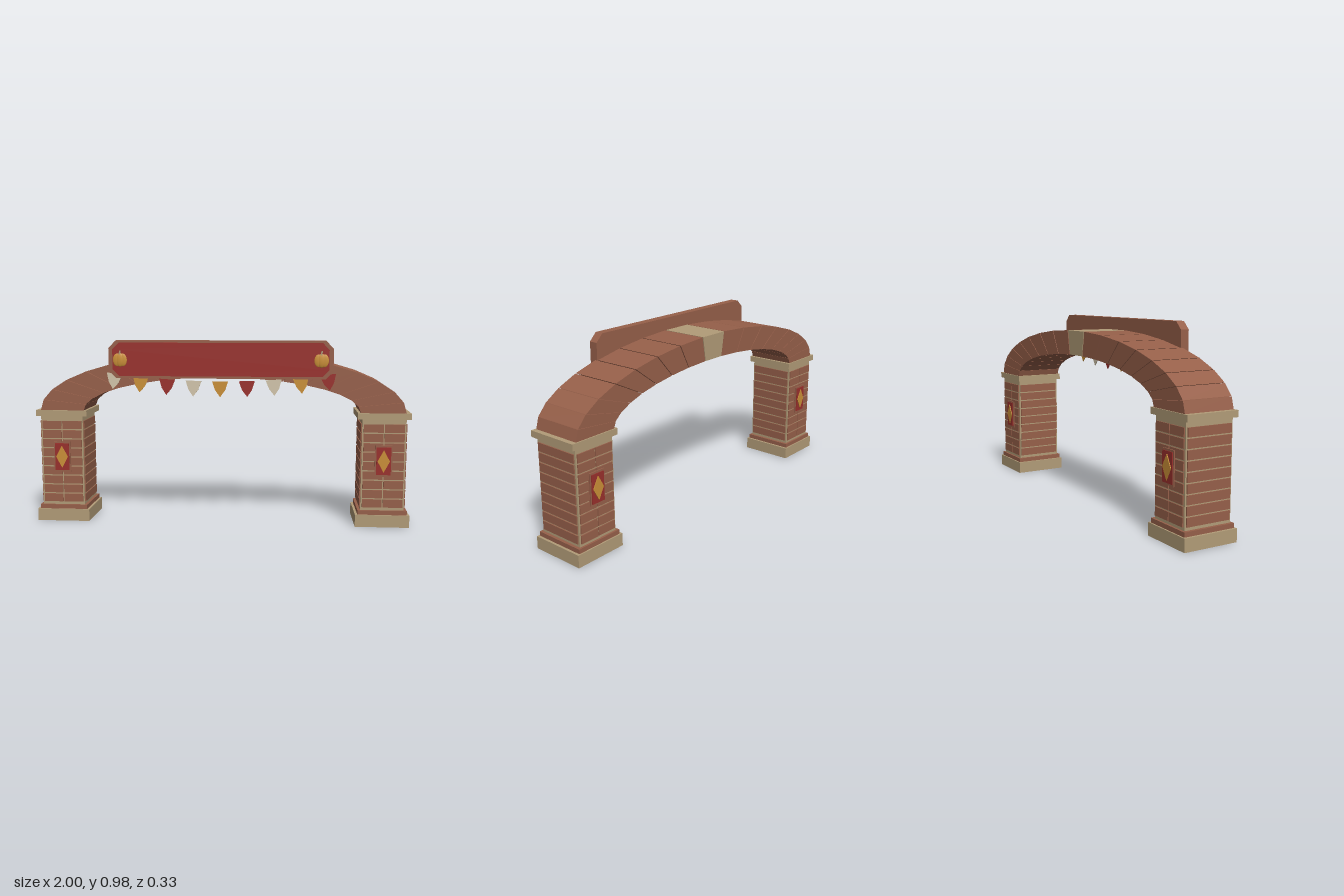
import * as THREE from 'three';

const mat = (name, color) => Object.assign(new THREE.MeshStandardMaterial({ color }), { name });

export function createModel() {
  const brick = mat('brick', 0x97604a);
  const stone = mat('sandstone', 0xb29c78);
  const red = mat('red paint', 0x9a302c);
  const gold = mat('gold', 0xcb9038);
  const cream = mat('cream cloth', 0xd3c6ac);
  const redCloth = red, goldCloth = gold;

  const model = new THREE.Group();
  model.name = 'archway';
  const CZ = -0.014; // centre of pillars and arch in depth

  const add = (parent, name, geometry, material, x = 0, y = 0, z = 0) => {
    const m = new THREE.Mesh(geometry, material);
    m.name = name;
    m.position.set(x, y, z);
    parent.add(m);
    return m;
  };
  // Box given by its bottom and top heights
  const slab = (parent, name, w, y0, y1, d, material, x = 0, z = 0) =>
    add(parent, name, new THREE.BoxGeometry(w, y1 - y0, d), material, x, (y0 + y1) / 2, z);
  const plate = (points, depth) => new THREE.ExtrudeGeometry(
    new THREE.Shape(points.map(([x, y]) => new THREE.Vector2(x, y))),
    { depth, bevelEnabled: false });
  // Rectangle with cut corners
  const octagon = (w, h, c) => [
    [-w + c, -h], [w - c, -h], [w, -h + c], [w, h - c],
    [w - c, h], [-w + c, h], [-w, h - c], [-w, -h + c]];

  // Pillars
  const diamond = plate([[-0.032, 0], [0, -0.06], [0.032, 0], [0, 0.06]], 0.005);
  for (const side of [-1, 1]) {
    const pillar = new THREE.Group();
    pillar.name = side > 0 ? 'leftPillar' : 'rightPillar';
    pillar.position.set(side * 0.858, 0, CZ);
    model.add(pillar);

    slab(pillar, 'base', 0.284, 0, 0.065, 0.293, stone);
    slab(pillar, 'plinth', 0.258, 0.065, 0.088, 0.278, brick);
    slab(pillar, 'mortarCore', 0.228, 0.088, 0.576, 0.256, stone);
    slab(pillar, 'capital', 0.276, 0.574, 0.606, 0.281, stone);

    // Brick courses on all four faces
    for (let row = 0; row < 9; row++) {
      const y0 = 0.104 + row * 0.05, y1 = y0 + 0.043;
      for (const s of [-1, 1]) {
        slab(pillar, 'sideBrick', 0.016, y0, y1, 0.24, brick, s * 0.112, 0);
        for (const h of [-1, 1])
          slab(pillar, 'faceBrick', 0.103, y0, y1, 0.016, brick, h * 0.0545, s * 0.126);
      }
    }

    // Diamond plaques, front and back
    for (const s of [0, 1]) {
      const plaque = new THREE.Group();
      plaque.name = s ? 'backPlaque' : 'frontPlaque';
      plaque.rotation.y = s * Math.PI;
      plaque.position.y = 0.354;
      pillar.add(plaque);
      add(plaque, 'plaqueFrame', new THREE.BoxGeometry(0.09, 0.165, 0.012), brick, 0, 0, 0.134);
      add(plaque, 'plaquePanel', new THREE.BoxGeometry(0.076, 0.146, 0.008), red, 0, 0, 0.14);
      add(plaque, 'plaqueDiamond', diamond, gold, 0, 0, 0.143);
    }
  }

  // Arch of wedge stones between two ellipses
  const arch = new THREE.Group();
  arch.name = 'arch';
  model.add(arch);
  const COUNT = 17, step = Math.PI / COUNT, gap = 0.003;
  const onEllipse = (rx, ry, t) => [rx * Math.cos(t), 0.605 + ry * Math.sin(t)];
  for (let i = 0; i < COUNT; i++) {
    const a = i * step + gap, b = (i + 1) * step - gap;
    const wedge = plate([
      onEllipse(0.97, 0.312, a), onEllipse(0.97, 0.312, b),
      onEllipse(0.735, 0.182, b), onEllipse(0.735, 0.182, a)], 0.268);
    const key = i === (COUNT - 1) / 2;
    add(arch, key ? 'keystone' : 'archStone', wedge, key ? stone : brick, 0, 0, CZ - 0.134);
  }

  // Sign board
  const sign = new THREE.Group();
  sign.name = 'sign';
  sign.position.set(0, 0.882, 0);
  model.add(sign);
  add(sign, 'signBoard', plate(octagon(0.587, 0.099, 0.04), 0.046), brick, 0, 0, 0.106);
  add(sign, 'signPanel', plate(octagon(0.565, 0.087, 0.034), 0.007), red, 0, 0, 0.151);
  // Pumpkin ornaments: overlapping flattened lobes and a stalk
  for (const side of [-1, 1]) {
    const pumpkin = new THREE.Group();
    pumpkin.name = 'pumpkinOrnament';
    pumpkin.position.set(side * 0.525, 0, 0.157);
    sign.add(pumpkin);
    for (const k of [-1, 0, 1]) {
      const lobe = add(pumpkin, 'pumpkinLobe', new THREE.SphereGeometry(1, 16, 10), gold, k * 0.015, -0.003, 0);
      lobe.scale.set(0.023, k ? 0.034 : 0.037, k ? 0.006 : 0.008);
    }
    const stalk = add(pumpkin, 'pumpkinStalk', new THREE.CylinderGeometry(0.004, 0.006, 0.022, 6), stone, 0, 0.036, 0.002);
    stalk.rotation.z = -0.2;
  }

  // Bunting hung on a shallow sag
  const bunting = new THREE.Group();
  bunting.name = 'bunting';
  model.add(bunting);
  const cloths = [cream, goldCloth, redCloth];
  const flag = plate([[-0.042, 0.004], [-0.026, -0.043], [0, -0.079], [0.026, -0.043], [0.042, 0.004]], 0.004);
  for (let i = 0; i < 9; i++) {
    const u = (i - 4) / 4;
    const f = add(bunting, 'pennant', flag, cloths[i % 3], u * 0.56, 0.764 + 0.038 * u * u, 0.133);
    f.rotation.z = 0.13 * u;
  }
  return model;
}
